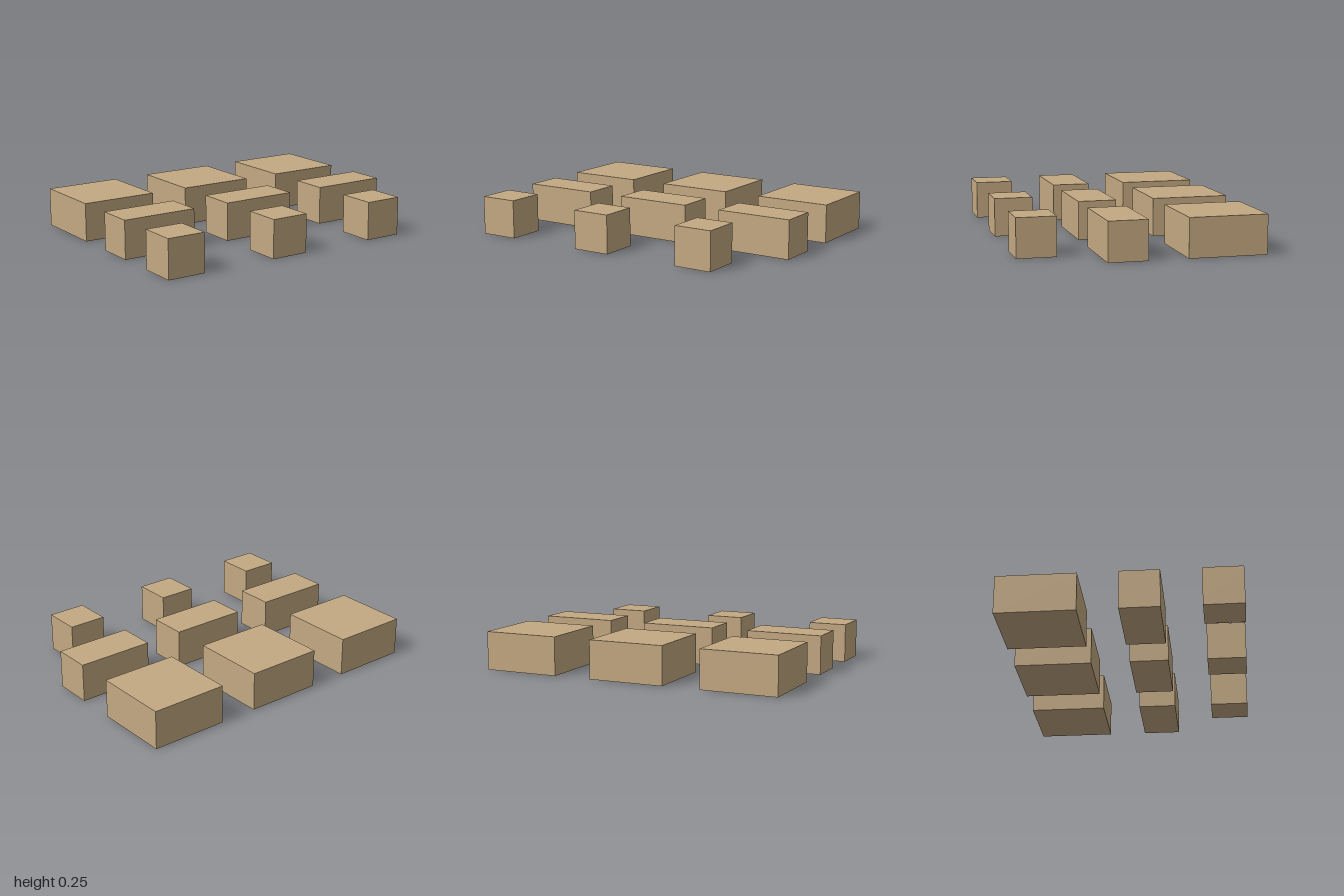
import * as THREE from 'three';

export function createModel() {
  const model = new THREE.Group();
  model.name = 'crateSet';

  const cardboard = new THREE.MeshStandardMaterial({ color: 0xc4a982 });
  cardboard.name = 'cardboard tan';

  const height = 0.25;
  const columns = [-1, -0.25, 0.5]; // left edge of each column

  // One kind of crate per row, from back to front
  const rows = [
    { name: 'largeCrate', width: 0.5, depth: 0.5, back: -0.75 },
    { name: 'longCrate', width: 0.5, depth: 0.25, back: 0 },
    { name: 'smallCrate', width: 0.25, depth: 0.25, back: 0.5 },
  ];

  for (const { name, width, depth, back } of rows) {
    const geometry = new THREE.BoxGeometry(width, height, depth);
    columns.forEach((edge, i) => {
      const crate = new THREE.Mesh(geometry, cardboard);
      crate.name = `${name}${i + 1}`;
      crate.position.set(edge + width / 2, height / 2, back + depth / 2);
      model.add(crate);
    });
  }

  return model;
}
